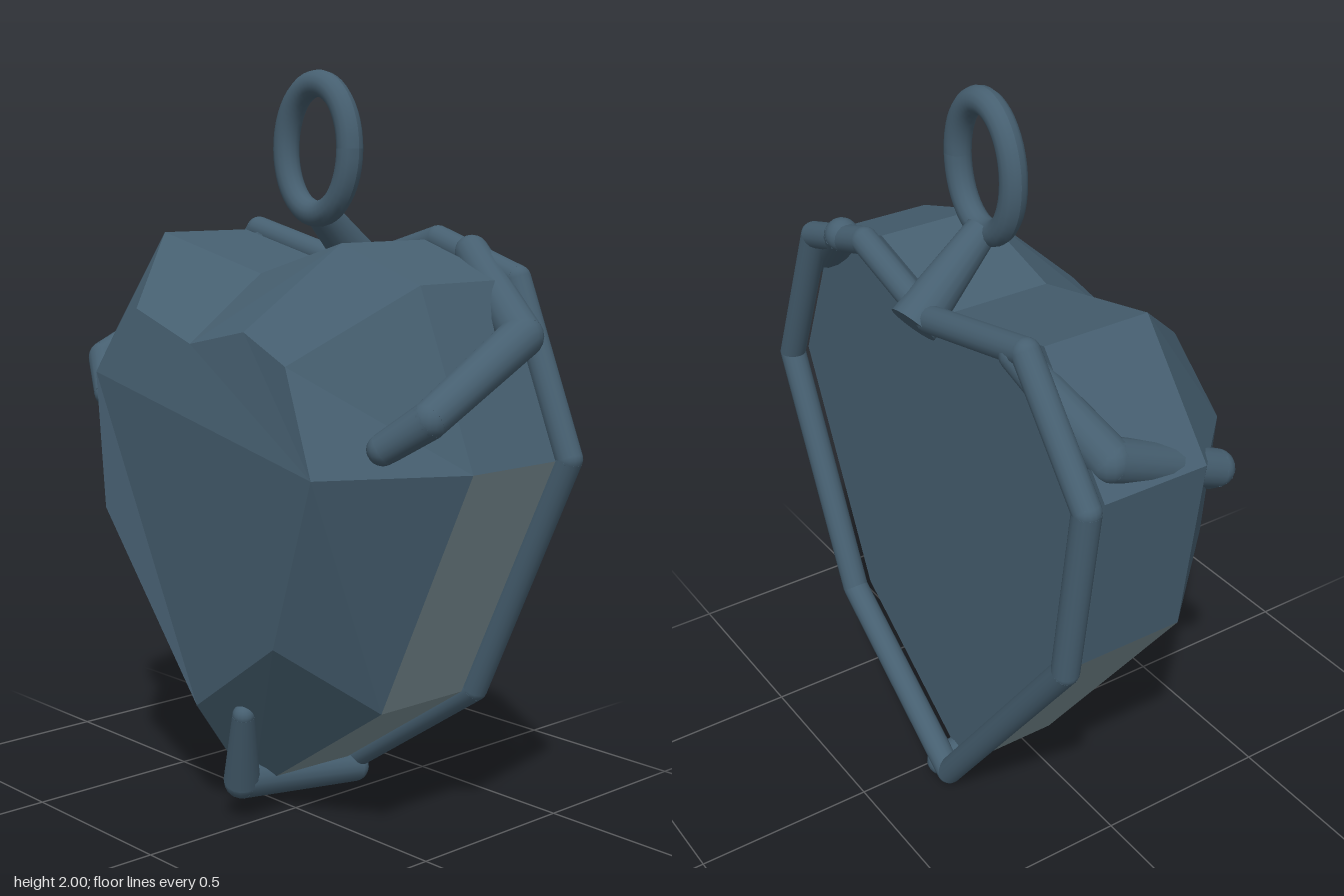
import * as THREE from 'three';

const V = (p) => new THREE.Vector3(...p);

export function createModel() {
  const group = new THREE.Group();
  const slate = new THREE.MeshStandardMaterial({ name: 'slate', color: 0x465f70 });
  const facet = new THREE.MeshStandardMaterial({ name: 'slateFacet', color: 0x465f70, flatShading: true });
  const pale = new THREE.MeshStandardMaterial({ name: 'paleGrey', color: 0x7c9197, flatShading: true });

  // heart outline, counter-clockwise from the tip
  const outline = [
    [-0.1, 0.045], [0.405, 0.385], [0.705, 1.04], [0.525, 1.475], [0.25, 1.565],
    [-0.06, 1.475], [-0.47, 1.57], [-0.713, 1.275], [-0.645, 0.775],
  ];
  // front face of the stone
  const table = [
    [-0.1, 0.33, 0.265], [0.24, 0.56, 0.29], [0.43, 1.02, 0.335], [0.31, 1.28, 0.31], [0.14, 1.35, 0.297],
    [-0.07, 1.305, 0.3], [-0.31, 1.38, 0.29], [-0.46, 1.2, 0.318], [-0.42, 0.83, 0.322],
  ];
  const n = outline.length;
  const back = outline.map(([x, y]) => [x, y, -0.225]);
  const girdle = outline.map(([x, y]) => [x, y, 0.07]);

  function addFaces(name, tris, material) {
    const g = new THREE.BufferGeometry();
    g.setAttribute('position', new THREE.Float32BufferAttribute(tris.flat(2), 3));
    g.computeVertexNormals();
    const mesh = new THREE.Mesh(g, material);
    mesh.name = name;
    group.add(mesh);
  }
  const quad = (a, b, c, d) => [[a, b, c], [a, c, d]];
  const cap = (ring) => THREE.ShapeUtils
    .triangulateShape(ring.map((p) => new THREE.Vector2(p[0], p[1])), [])
    .map((t) => t.map((i) => ring[i]));

  // stone: back, side walls, bevel and table
  const paleEdges = [0, 1, 8];
  const body = [...cap(table), ...cap(back).map((t) => t.slice().reverse())];
  const paleWalls = [];
  for (let i = 0; i < n; i++) {
    const j = (i + 1) % n;
    (paleEdges.includes(i) ? paleWalls : body).push(...quad(back[i], back[j], girdle[j], girdle[i]));
    body.push(...quad(girdle[i], girdle[j], table[j], table[i]));
  }
  addFaces('stone', body, facet);
  addFaces('stoneLowerWalls', paleWalls, pale);

  // round rod through a row of points, with a radius at each point
  function rod(name, points, radii, ballEnds = true) {
    const part = new THREE.Group();
    part.name = name;
    points.forEach((p, i) => {
      const a = V(p);
      const last = i === points.length - 1;
      if (ballEnds || (i > 0 && !last)) {
        const ball = new THREE.Mesh(new THREE.SphereGeometry(radii[i], 16, 10), slate);
        ball.position.copy(a);
        ball.name = name + 'Joint';
        part.add(ball);
      }
      if (last) return;
      const d = V(points[i + 1]).sub(a);
      const bar = new THREE.Mesh(
        new THREE.CylinderGeometry(radii[i + 1], radii[i], d.length(), 16), slate);
      bar.position.copy(a).addScaledVector(d, 0.5);
      bar.quaternion.setFromUnitVectors(new THREE.Vector3(0, 1, 0), d.normalize());
      bar.name = name + 'Bar';
      part.add(bar);
    });
    group.add(part);
  }

  // wire frame behind the stone
  const loop = [...outline, outline[0]].map(([x, y]) => [x, y, -0.275]);
  rod('backFrame', loop, loop.map(() => 0.036));

  // claws that grip the stone
  rod('leftClaw',
    [[0.37, 1.535, -0.275], [0.635, 1.345, -0.17], [0.635, 1.17, 0.15], [0.535, 1.095, 0.2]],
    [0.045, 0.055, 0.047, 0.04]);
  rod('rightClaw',
    [[-0.43, 1.545, -0.275], [-0.655, 1.345, -0.17], [-0.655, 1.21, 0.15], [-0.565, 1.12, 0.21]],
    [0.04, 0.055, 0.047, 0.035]);
  rod('bottomClaw',
    [[-0.05, 0.046, -0.27], [-0.045, 0.11, 0.155], [0.035, 0.325, 0.215]],
    [0.042, 0.05, 0.03]);

  // tapered stem and hanging ring
  rod('stem', [[-0.02, 1.45, -0.3], [0.012, 1.635, -0.075]], [0.065, 0.042], false);
  const ring = new THREE.Mesh(new THREE.TorusGeometry(0.145, 0.035, 14, 48), slate);
  const pos = ring.geometry.attributes.position;
  for (let i = 0; i < pos.count; i++) {
    // stretch the ring's centre line into an oval, keeping the rod round
    const a = Math.atan2(pos.getY(i), pos.getX(i));
    pos.setX(i, pos.getX(i) - 0.022 * Math.cos(a));
    pos.setY(i, pos.getY(i) + 0.023 * Math.sin(a));
  }
  ring.geometry.computeVertexNormals();
  ring.position.set(0.012, 1.797, -0.065);
  ring.name = 'hangingRing';
  group.add(ring);

  return group;
}
